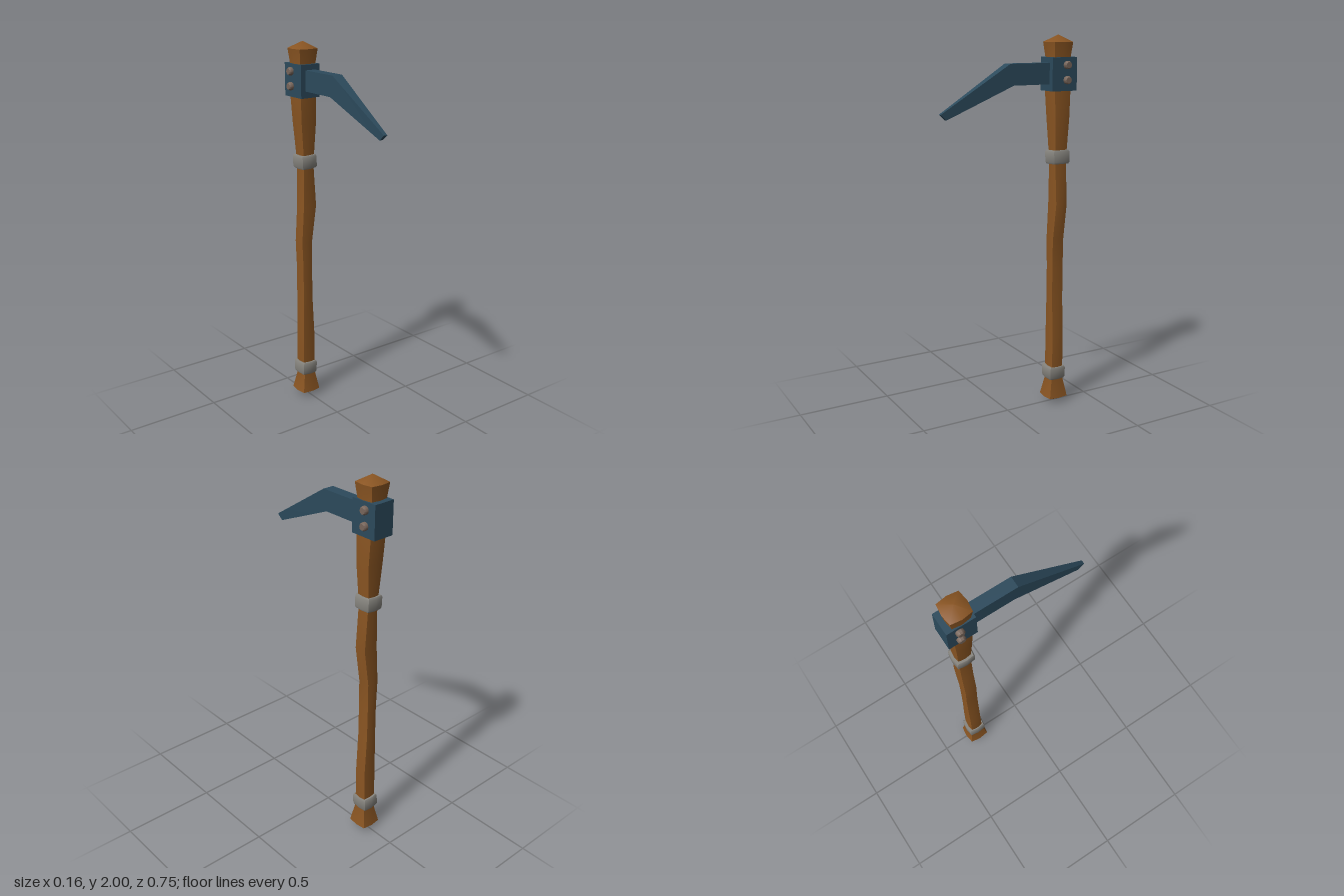
import * as THREE from 'three';
import { toCreasedNormals } from 'three/addons/utils/BufferGeometryUtils.js';

const mat = (name, color) => {
  const m = new THREE.MeshStandardMaterial({ color });
  m.name = name;
  return m;
};

// Bulging square outline used for the handle and its bands
const BULGE = [[1, 0], [0.88, 0.88], [0, 1], [-0.88, 0.88], [-1, 0], [-0.88, -0.88], [0, -1], [0.88, -0.88]];
const SQUARE = [[1, 1], [-1, 1], [-1, -1], [1, -1]];

// Skin a list of rings (arrays of Vector3, clockwise seen from the far end) and close both ends
function loft(rings, crease) {
  const n = rings[0].length, pos = [], idx = [];
  for (const ring of rings) for (const p of ring) pos.push(p.x, p.y, p.z);
  for (let r = 0; r < rings.length - 1; r++) {
    for (let i = 0; i < n; i++) {
      const a = r * n + i, b = r * n + (i + 1) % n;
      idx.push(a, a + n, b, b, a + n, b + n);
    }
  }
  const last = (rings.length - 1) * n;
  for (let i = 1; i < n - 1; i++) {
    idx.push(0, i, i + 1);
    idx.push(last, last + i + 1, last + i);
  }
  const g = new THREE.BufferGeometry();
  g.setAttribute('position', new THREE.Float32BufferAttribute(pos, 3));
  g.setIndex(idx);
  return toCreasedNormals(g, crease);
}

// Vertical loft from [y, centre x, half width x, half depth z] sections
const column = (sections, crease) => loft(sections.map(([y, cx, hx, hz]) =>
  BULGE.map(([u, v]) => new THREE.Vector3(cx + u * hx, y, v * hz))), crease);

export function createModel() {
  const model = new THREE.Group();
  const wood = mat('wood', 0x8a5522);
  const steel = mat('blue steel', 0x2c4a5c);
  const bandGrey = mat('band grey', 0x87857f);
  const rivetBrown = mat('rivet brown', 0x77655a);
  const add = (name, geometry, material, x = 0, y = 0, z = 0) => {
    const m = new THREE.Mesh(geometry, material);
    m.name = name;
    m.position.set(x, y, z);
    model.add(m);
    return m;
  };
  const HZ = -0.296;

  // Crooked handle with flared, pointed ends
  add('handle', column([
    [0.005, -0.003, 0.002, 0.002],
    [0.035, -0.003, 0.061, 0.062],
    [0.14, -0.001, 0.039, 0.04],
    [0.22, -0.003, 0.041, 0.038],
    [0.39, -0.002, 0.041, 0.037],
    [0.6, -0.005, 0.033, 0.037],
    [0.78, -0.005, 0.032, 0.037],
    [0.93, -0.007, 0.036, 0.037],
    [1.13, 0.014, 0.045, 0.037],
    [1.34, 0.009, 0.035, 0.037],
    [1.42, 0.008, 0.038, 0.04],
    [1.58, 0.006, 0.051, 0.047],
    [1.72, 0.001, 0.054, 0.054],
    [1.89, 0, 0.053, 0.053],
    [1.965, 0, 0.063, 0.063],
    [2, 0, 0.002, 0.002],
  ], 0.9), wood, 0, 0, HZ);

  // Two slightly tilted metal bands
  for (const [name, x, y, tilt] of [['lowerBand', -0.005, 0.177, -0.05], ['upperBand', 0.006, 1.378, 0.05]]) {
    const band = add(name, column([
      [-0.036, 0, 0.03, 0.03],
      [-0.036, 0, 0.046, 0.048],
      [-0.027, 0, 0.05, 0.053],
      [0.027, 0, 0.05, 0.053],
      [0.036, 0, 0.046, 0.048],
      [0.036, 0, 0.03, 0.03],
    ], 0.9), bandGrey, x, y, HZ);
    band.rotation.z = tilt;
  }

  // Socket wrapped around the handle
  add('socket', new THREE.BoxGeometry(0.114, 0.17, 0.147), steel, 0, 1.805, -0.3025);

  // Single bent pick: [z top, y top, z bottom, y bottom, half width]
  const pick = [
    [-0.26, 1.862, -0.26, 1.755, 0.029],
    [0.0, 1.862, -0.02, 1.755, 0.029],
    [0.376, 1.628, 0.345, 1.6, 0.01],
  ].map(([zt, yt, zb, yb, h]) => SQUARE.map(([u, v]) =>
    new THREE.Vector3(-u * h, v > 0 ? yt : yb, v > 0 ? zt : zb)));
  // Order the corners so that faces point outwards
  add('pick', loft(pick, 0.3), steel);

  // Rivets on both sides of the socket
  const profile = [[0, 0], [0.021, 0], [0.021, 0.02], [0.016, 0.028], [0, 0.028]].map(p => new THREE.Vector2(...p));
  const rivet = toCreasedNormals(new THREE.LatheGeometry(profile, 10), 0.7);
  for (const side of [-1, 1]) {
    for (const y of [1.775, 1.851]) {
      add('rivet', rivet, rivetBrown, side * 0.051, y, -0.315).rotation.z = -side * Math.PI / 2;
    }
  }
  return model;
}
